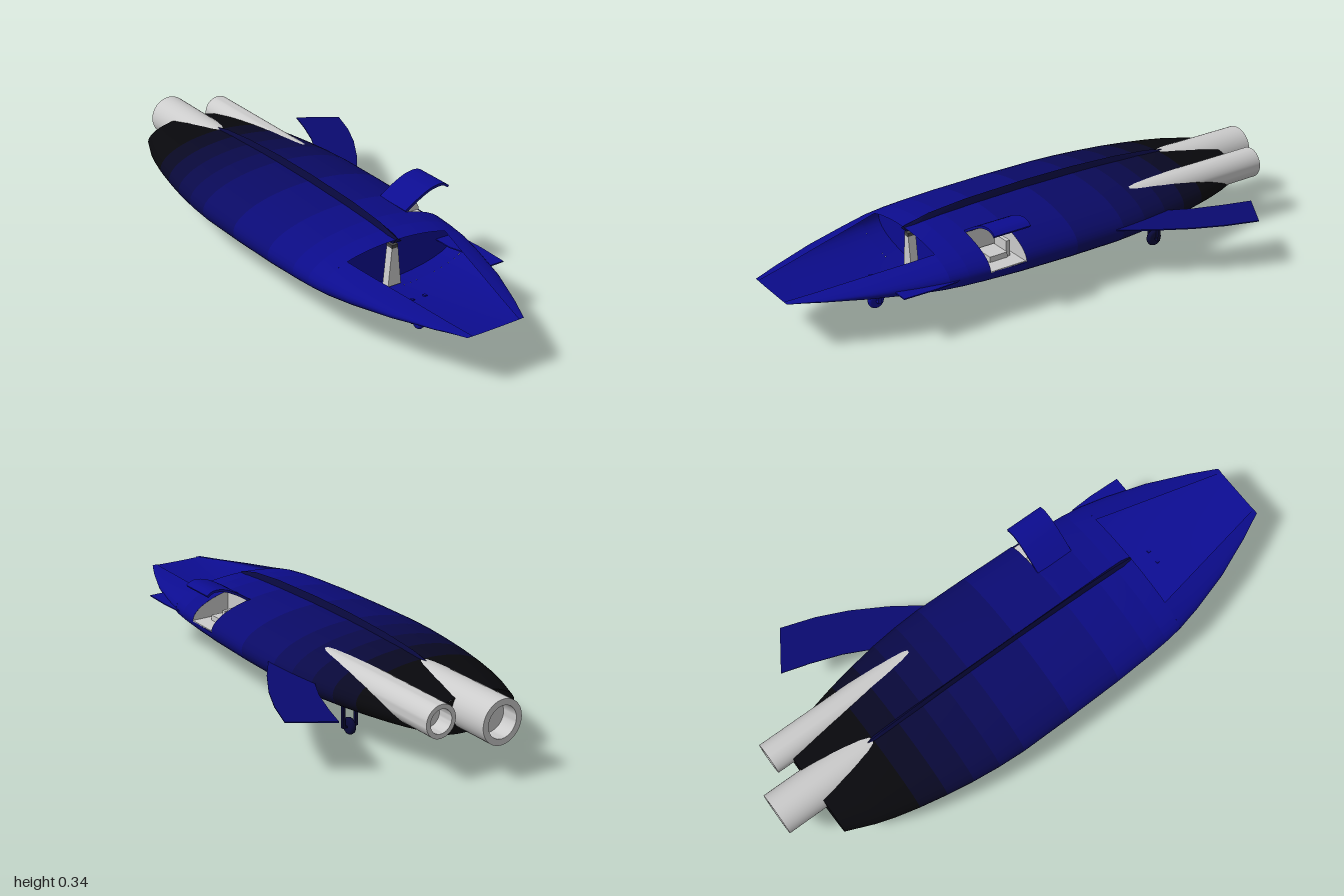
import * as THREE from 'three';
import { toCreasedNormals } from 'three/addons/utils/BufferGeometryUtils.js';
import { ConvexGeometry } from 'three/addons/geometries/ConvexGeometry.js';

const CX = -0.115, CY = 0.18; // hull axis
const BLUE = 0x0c0c90, DARK = 0x08080c, GREY = 0xcccccc;

const mat = (color) => new THREE.MeshStandardMaterial({ color, side: THREE.DoubleSide });
// paint fades from blue at the nose to near black at the tail
const paint = (z) => mat(new THREE.Color(BLUE).lerp(new THREE.Color(DARK), THREE.MathUtils.clamp((0.5 - z) / 1.1, 0, 1)));

function add(parent, name, geometry, material, x = 0, y = 0, z = 0) {
  const mesh = new THREE.Mesh(geometry, material);
  mesh.name = name;
  mesh.position.set(x, y, z);
  parent.add(mesh);
  return mesh;
}

// hull stations: z, half width, height above axis, depth below axis
const STATIONS = [
  [1, 0.11, 0.002, 0.002], [0.9, 0.158, 0.018, 0.022], [0.75, 0.22, 0.043, 0.048],
  [0.6, 0.265, 0.069, 0.073], [0.5, 0.288, 0.09, 0.085], [0.43, 0.297, 0.097, 0.092],
  [0.35, 0.303, 0.102, 0.098], [0.21, 0.31, 0.107, 0.106], [0, 0.314, 0.111, 0.113],
  [-0.2, 0.315, 0.111, 0.113], [-0.3, 0.309, 0.11, 0.109], [-0.4, 0.298, 0.107, 0.103],
  [-0.5, 0.282, 0.104, 0.097], [-0.6, 0.262, 0.097, 0.09], [-0.68, 0.242, 0.09, 0.083],
  [-0.75, 0.22, 0.082, 0.076], [-0.85, 0.178, 0.066, 0.065],
];
const SEG = 48;

function hullPoint([, w, up, down], a) {
  const s = Math.sin(a);
  return [CX + w * Math.cos(a), CY + s * (s > 0 ? up : down)];
}

// loft rings of hull points; angles(station) gives start and sweep, skip() leaves openings
function loft(stations, angles, closed, skip) {
  const pos = [], idx = [], geo = new THREE.BufferGeometry();
  const row = closed ? SEG : SEG + 1;
  stations.forEach((s) => {
    const [start, sweep] = angles(s);
    for (let j = 0; j < row; j++) pos.push(...hullPoint(s, start + (sweep * j) / SEG), s[0]);
  });
  for (let i = 0; i < stations.length - 1; i++) {
    const first = idx.length;
    for (let j = 0; j < SEG; j++) {
      if (skip(stations[i][0], j)) continue;
      const k = (j + 1) % row, a = i * row + j, b = i * row + k, c = a + row, d = b + row;
      idx.push(a, c, b, b, c, d);
    }
    geo.addGroup(first, idx.length - first, i);
  }
  geo.setAttribute('position', new THREE.Float32BufferAttribute(pos, 3));
  geo.setIndex(idx);
  geo.computeVertexNormals();
  return geo;
}

// flat outline in the hull's cross-section plane
function section(s, from, to, scale, extra = []) {
  const pts = extra.map(([x, y]) => new THREE.Vector2(x, y));
  for (let i = 0; i <= 32; i++) {
    const [x, y] = hullPoint(s, from + ((to - from) * i) / 32);
    pts.push(new THREE.Vector2(CX + (x - CX) * scale, CY + (y - CY) * scale));
  }
  return new THREE.ShapeGeometry(new THREE.Shape(pts));
}

// thin horizontal plate from [x, z] corners
function plate(points, t) {
  const shape = new THREE.Shape(points.map(([x, z]) => new THREE.Vector2(x, -z)));
  return new THREE.ExtrudeGeometry(shape, { depth: t, bevelEnabled: false }).rotateX(-Math.PI / 2);
}

function engine(parent, name, x, y, r, z0, z1) {
  const L = z0 - z1, i = r * 0.72;
  const profile = [[0, 0], [r, 0], [r, L], [i, L], [i, L - 0.06], [0, L - 0.06]].map((p) => new THREE.Vector2(...p));
  const geo = toCreasedNormals(new THREE.LatheGeometry(profile, 40).rotateX(-Math.PI / 2), 0.6);
  add(parent, name, geo, mat(GREY), x, y, z0);
}

function gear(parent, name, x, z, top) {
  const g = new THREE.Group(), m = paint(z);
  g.name = name;
  g.position.set(x, 0, z);
  parent.add(g);
  const wheel = new THREE.LatheGeometry([[0, -0.011], [0.022, -0.011], [0.028, -0.007], [0.03, 0],
    [0.028, 0.007], [0.022, 0.011], [0, 0.011]].map((p) => new THREE.Vector2(...p)), 28).rotateZ(Math.PI / 2);
  add(g, 'wheel', wheel, m, 0, 0.03, 0);
  add(g, 'axle', new THREE.BoxGeometry(0.05, 0.006, 0.01), m, 0, 0.03, 0);
  for (const side of [-1, 1]) {
    add(g, 'forkLeg', new THREE.BoxGeometry(0.01, top - 0.027, 0.012), m, side * 0.025, (top + 0.027) / 2, 0);
  }
}

export function createModel() {
  const model = new THREE.Group();
  model.name = 'spacecraft';

  // main hull with a doorway on the left flank
  const body = STATIONS.slice(4);
  add(model, 'hull', loft(body, () => [0, Math.PI * 2], true, (z, j) => z === 0.35 && j < 8),
    body.slice(1).map((s, i) => paint((s[0] + body[i][0]) / 2)));
  const tail = STATIONS[STATIONS.length - 1];
  add(model, 'tailCap', section(tail, 0, Math.PI * 2, 1), mat(DARK), 0, 0, tail[0]);

  // open nose, its top cut away along a tapering rim
  const nose = STATIONS.slice(0, 5);
  const rim = (s) => {
    const a = Math.acos((0.195 - (s[0] - 0.5) * 0.21) / s[1]);
    return [Math.PI - a, Math.PI + 2 * a];
  };
  add(model, 'nose', loft(nose, rim, false, () => false), nose.slice(1).map(() => mat(BLUE)));

  // cockpit bulkhead and pilot seat
  add(model, 'bulkhead', section(STATIONS[5], 0, Math.PI * 2, 0.985), mat(BLUE), 0, 0, 0.43);
  const back = new THREE.Shape([[-0.026, 0.1], [0.026, 0.1], [0.012, 0.235], [-0.012, 0.235]]
    .map((p) => new THREE.Vector2(...p)));
  add(model, 'pilotSeat', new THREE.ExtrudeGeometry(back, { depth: 0.03, bevelEnabled: false }), mat(GREY), CX, 0, 0.46);
  add(model, 'headrest', new THREE.BoxGeometry(0.024, 0.014, 0.03), mat(0x444444), CX, 0.24, 0.475);

  // cabin behind the doorway
  const cabin = new THREE.Group();
  cabin.name = 'cabin';
  model.add(cabin);
  for (const s of [STATIONS[6], STATIONS[7]]) {
    add(cabin, 'cabinWall', section(s, 0, Math.PI / 3, 0.998, [[0.035, CY]]), mat(GREY), 0, 0, s[0]);
  }
  add(cabin, 'cabinFloor', new THREE.BoxGeometry(0.153, 0.004, 0.138), mat(GREY), 0.112, CY, 0.28);
  add(cabin, 'cabinBack', new THREE.BoxGeometry(0.004, 0.09, 0.138), mat(GREY), 0.038, CY + 0.045, 0.28);
  add(cabin, 'cabinSeat', new THREE.BoxGeometry(0.08, 0.022, 0.07), mat(GREY), 0.09, CY + 0.011, 0.28);
  add(cabin, 'cabinSeatBack', new THREE.BoxGeometry(0.07, 0.06, 0.015), mat(GREY), 0.09, CY + 0.03, 0.238);

  // raised door, hinged at the top of the doorway
  const curve = new THREE.SplineCurve([[0.03, 0.273], [0.08, 0.304], [0.13, 0.328], [0.17, 0.336],
    [0.195, 0.332], [0.212, 0.321]].map((p) => new THREE.Vector2(...p)));
  const outer = curve.getPoints(24);
  const inner = outer.map((p, i) => {
    const t = curve.getTangent(i / 24);
    return new THREE.Vector2(p.x + t.y * 0.009, p.y - t.x * 0.009);
  }).reverse();
  const door = new THREE.ExtrudeGeometry(new THREE.Shape([...outer, ...inner]), { depth: 0.145, bevelEnabled: false });
  add(model, 'door', toCreasedNormals(door, 0.6), mat(BLUE), 0, 0, 0.205);

  // dorsal spine
  const ridge = [[0.5, 0.274], [0.4, 0.296], [0.25, 0.309], [0, 0.316], [-0.2, 0.315], [-0.4, 0.306], [-0.55, 0.292], [-0.64, 0.274]];
  const pts = ridge.map(([z, y]) => new THREE.Vector3(CX, y, z));
  for (const z of [0.5, -0.64]) for (const x of [-0.018, 0.018]) pts.push(new THREE.Vector3(CX + x, 0.26, z));
  add(model, 'spine', new ConvexGeometry(pts), mat(0x08083c));

  // swept wing and forward fin
  add(model, 'wing', plate([[0.1, -0.05], [0.2, -0.17], [0.27, -0.27], [0.34, -0.39], [0.39, -0.5], [0.43, -0.62],
    [0.29, -0.71], [0.26, -0.61], [0.22, -0.5], [0.18, -0.42], [0.1, -0.35]], 0.004), mat(0x0a0a70), 0, 0.19, 0);
  add(model, 'frontFin', plate([[0.1, 0.36], [0.165, 0.41], [0.181, 0.48], [0.185, 0.56], [0.182, 0.68],
    [0.127, 0.68], [0.13, 0.6], [0.1, 0.5]], 0.004), mat(BLUE), 0, 0.178, 0);

  // engines and landing gear
  engine(model, 'mainEngine', CX, 0.2, 0.077, -0.5, -1);
  engine(model, 'sideEngine', 0.056, 0.212, 0.057, -0.3, -0.915);
  gear(model, 'frontGear', CX, 0.62, 0.115);
  gear(model, 'rearGear', 0.063, -0.45, 0.105);
  return model;
}
